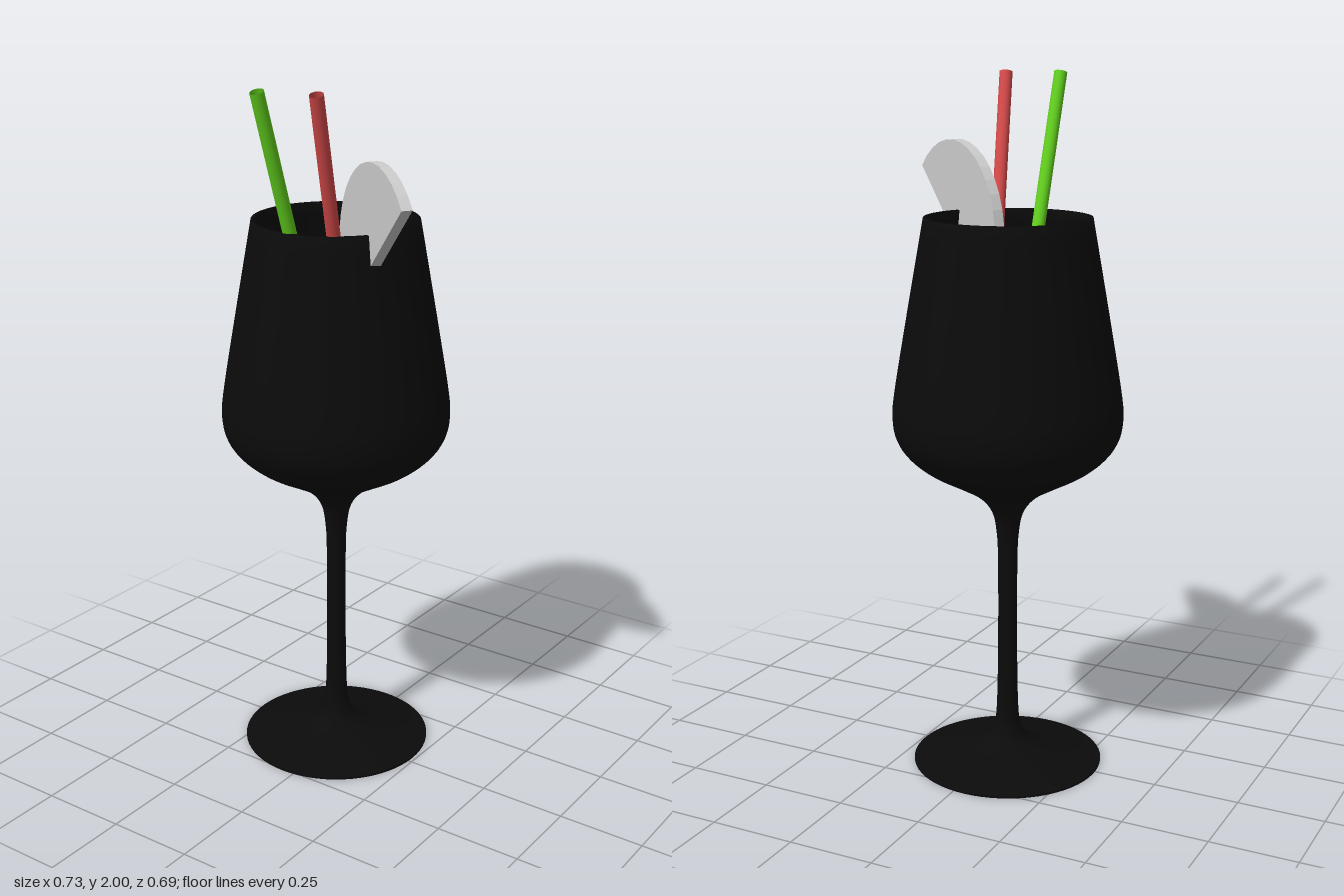
import * as THREE from 'three';

const CX = -0.037, CZ = -0.018; // axis of the glass

export function createModel() {
  const root = new THREE.Group();
  const black = new THREE.MeshStandardMaterial({ color: 0x0b0b0b, side: THREE.DoubleSide });
  black.name = 'blackGlass';
  const green = new THREE.MeshStandardMaterial({ color: 0x62d01e, side: THREE.DoubleSide });
  green.name = 'greenStraw';
  const red = new THREE.MeshStandardMaterial({ color: 0xd64a4a, side: THREE.DoubleSide });
  red.name = 'redStraw';
  const pale = new THREE.MeshStandardMaterial({ color: 0xcccccc });
  pale.name = 'paleSlice';

  const add = (name, geometry, material, x = 0, y = 0, z = 0) => {
    const mesh = new THREE.Mesh(geometry, material);
    mesh.name = name;
    mesh.position.set(x, y, z);
    root.add(mesh);
    return mesh;
  };
  const curve = (pts, n) => new THREE.SplineCurve(pts.map(p => new THREE.Vector2(...p))).getPoints(n);

  // Foot, stem and outer bowl, then over the rim and down the inside
  const outer = curve([
    [0.277, 0.006], [0.22, 0.016], [0.14, 0.035], [0.07, 0.062], [0.042, 0.1], [0.032, 0.16],
    [0.028, 0.35], [0.028, 0.6], [0.032, 0.7], [0.046, 0.765], [0.085, 0.812], [0.15, 0.85],
    [0.23, 0.893], [0.285, 0.938], [0.316, 0.985], [0.327, 1.04], [0.322, 1.11], [0.29, 1.3], [0.235, 1.61],
  ], 90);
  const inner = curve([[0.222, 1.61], [0.277, 1.3], [0.308, 1.11], [0.3, 0.985], [0.22, 0.91], [0, 0.83]], 30);
  add('glass', new THREE.LatheGeometry([...outer, ...inner], 64), black, CX, 0, CZ);
  add('footBase', new THREE.CylinderGeometry(0.277, 0.277, 0.006, 64), black, CX, 0.003, CZ);

  // Drink surface
  add('drink', new THREE.CircleGeometry(0.244, 64).rotateX(-Math.PI / 2), black, CX, 1.5, CZ);

  // Hollow straws, leaning forward out of the drink
  const straw = (name, material, top, bottom) => {
    const a = new THREE.Vector3(...top), b = new THREE.Vector3(...bottom);
    const dir = a.clone().sub(b);
    const mesh = add(name, new THREE.CylinderGeometry(0.019, 0.019, dir.length(), 24, 1, true), material);
    mesh.position.copy(a).add(b).multiplyScalar(0.5);
    mesh.quaternion.setFromUnitVectors(new THREE.Vector3(0, 1, 0), dir.normalize());
  };
  straw('greenStraw', green, [-0.037, 1.993, 0.325], [-0.037, 1.2, 0.055]);
  straw('redStraw', red, [0.118, 1.993, 0.283], [0.04, 1.2, 0.025]);

  // Half-round fruit slice perched on the rim
  const half = new THREE.Shape();
  const tilt = 0.73, steps = 18, R = 0.26;
  for (let i = 0; i <= steps; i++) {
    const a = tilt + (i / steps) * Math.PI;
    half[i ? 'lineTo' : 'moveTo'](R * Math.cos(a), R * Math.sin(a));
  }
  half.closePath();
  const sliceGeo = new THREE.ExtrudeGeometry(half, { depth: 0.03, bevelEnabled: false });
  sliceGeo.translate(0, 0, -0.015);
  const slice = add('fruitSlice', sliceGeo, pale, 0.194, 1.547, 0.115);
  slice.rotation.y = -0.609;

  return root;
}
